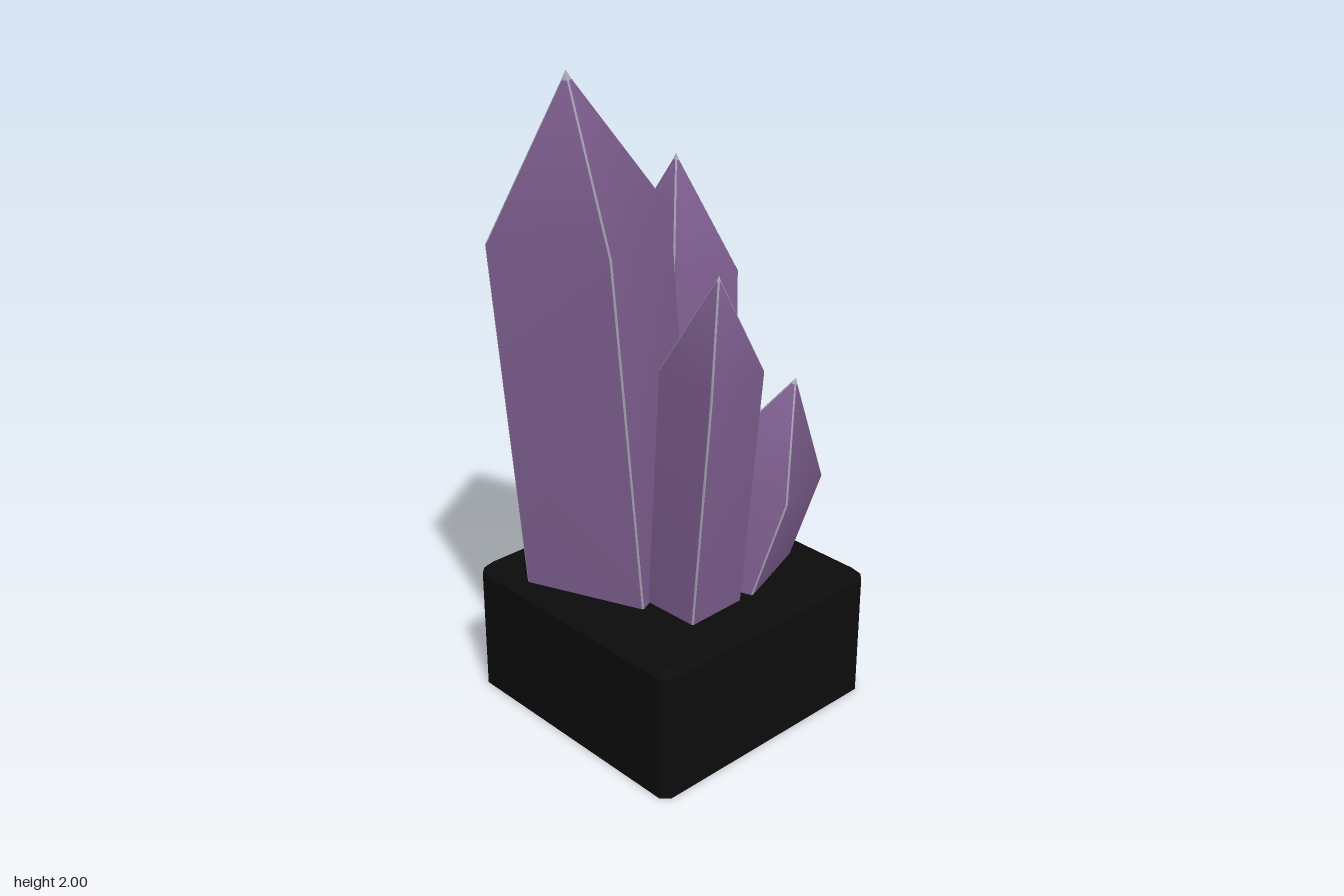
import * as THREE from 'three';

const amethyst = new THREE.MeshStandardMaterial({ color: 0x7f5f90 });
amethyst.name = 'amethyst purple';
const pale = new THREE.MeshStandardMaterial({ color: 0xaaa4b8 });
pale.name = 'pale edge';
const black = new THREE.MeshStandardMaterial({ color: 0x0c0c0c });
black.name = 'black stone';

// Four corners [x, y, z] -> eight points with each corner cut by c
function cutCorners(corners, c) {
  const pts = corners.map((p) => new THREE.Vector3(...p));
  const toward = (a, b) => a.clone().add(b.clone().sub(a).setLength(c));
  return pts.flatMap((p, i) => [toward(p, pts[(i + 3) % 4]), toward(p, pts[(i + 1) % 4])]);
}

// Skins eight-point rings; group 0 holds the wide faces, group 1 the cut edges and the tip
function loft(rings, tip, bottom) {
  const points = rings.flat();
  const wide = [], edges = [];
  for (let r = 0; r < rings.length - 1; r++) {
    for (let i = 0; i < 8; i++) {
      const a = r * 8 + i, b = r * 8 + (i + 1) % 8;
      (i % 2 ? wide : edges).push(a, b, b + 8, a, b + 8, a + 8);
    }
  }
  const last = (rings.length - 1) * 8;
  const tipIndex = points.push(tip) - 1;
  for (let i = 0; i < 8; i++) edges.push(last + i, last + (i + 1) % 8, tipIndex);
  if (bottom) {
    const bottomIndex = points.push(bottom) - 1;
    for (let i = 0; i < 8; i++) edges.push((i + 1) % 8, i, bottomIndex);
  }
  const geo = new THREE.BufferGeometry().setFromPoints(points);
  geo.setIndex([...wide, ...edges]);
  geo.addGroup(0, wide.length, 0);
  geo.addGroup(wide.length, edges.length, 1);
  return geo;
}

// Leaning prism with a pointed top and fine pale edges
function crystal(name, foot, shoulder, apex) {
  const tip = new THREE.Vector3(...apex);
  const nearTip = shoulder.map((p) => new THREE.Vector3(...p).lerp(tip, 0.94).toArray());
  const geo = loft([
    cutCorners(foot.map(([x, z]) => [x, 0.41, z]), 0.005),
    cutCorners(shoulder, 0.005),
    cutCorners(nearTip, 0.004),
  ], tip);
  geo.computeVertexNormals();
  const mesh = new THREE.Mesh(geo, [amethyst, pale]);
  mesh.name = name;
  return mesh;
}

// Square block with cut upright corners and a bevelled top rim
function block() {
  const ring = (h, y, c) => cutCorners(
    [[-h, y, h], [h, y, h], [h, y, -h], [-h, y, -h]], c);
  const geo = loft(
    [ring(0.43, 0, 0.025), ring(0.43, 0.405, 0.025), ring(0.405, 0.43, 0.015)],
    new THREE.Vector3(0, 0.43, 0), new THREE.Vector3(0, 0, 0)).toNonIndexed();
  geo.clearGroups();
  geo.computeVertexNormals();
  const mesh = new THREE.Mesh(geo, black);
  mesh.name = 'base';
  mesh.position.x = 0.025;
  return mesh;
}

export function createModel() {
  const group = new THREE.Group();
  group.name = 'crystalCluster';
  group.add(block());

  // Corners run front, right, back, left
  group.add(crystal('tallCrystal',
    [[-0.21, 0.13], [0.145, -0.02], [0.01, -0.385], [-0.36, -0.235]],
    [[-0.31, 1.54, 0.12], [0.05, 1.58, -0.03], [-0.09, 1.56, -0.39], [-0.455, 1.53, -0.245]],
    [-0.24, 2, -0.135]));
  group.add(crystal('backCrystal',
    [[0.1, -0.065], [0.35, -0.035], [0.37, -0.31], [0.08, -0.325]],
    [[0.155, 1.33, -0.13], [0.425, 1.28, -0.12], [0.432, 1.27, -0.397], [0.16, 1.32, -0.41]],
    [0.32, 1.64, -0.295]));
  group.add(crystal('shortCrystal',
    [[0.08, 0.29], [0.355, 0.19], [0.285, -0.055], [-0.01, 0.04]],
    [[0.145, 0.74, 0.367], [0.42, 0.71, 0.26], [0.325, 0.79, 0], [0.05, 0.81, 0.1]],
    [0.295, 1.07, 0.25]));
  group.add(crystal('frontCrystal',
    [[-0.165, 0.29], [0.042, 0.285], [0.035, 0.09], [-0.17, 0.1]],
    [[-0.207, 1.19, 0.4], [0, 1.22, 0.4], [0, 1.25, 0.19], [-0.207, 1.22, 0.19]],
    [-0.12, 1.51, 0.335]));
  return group;
}
